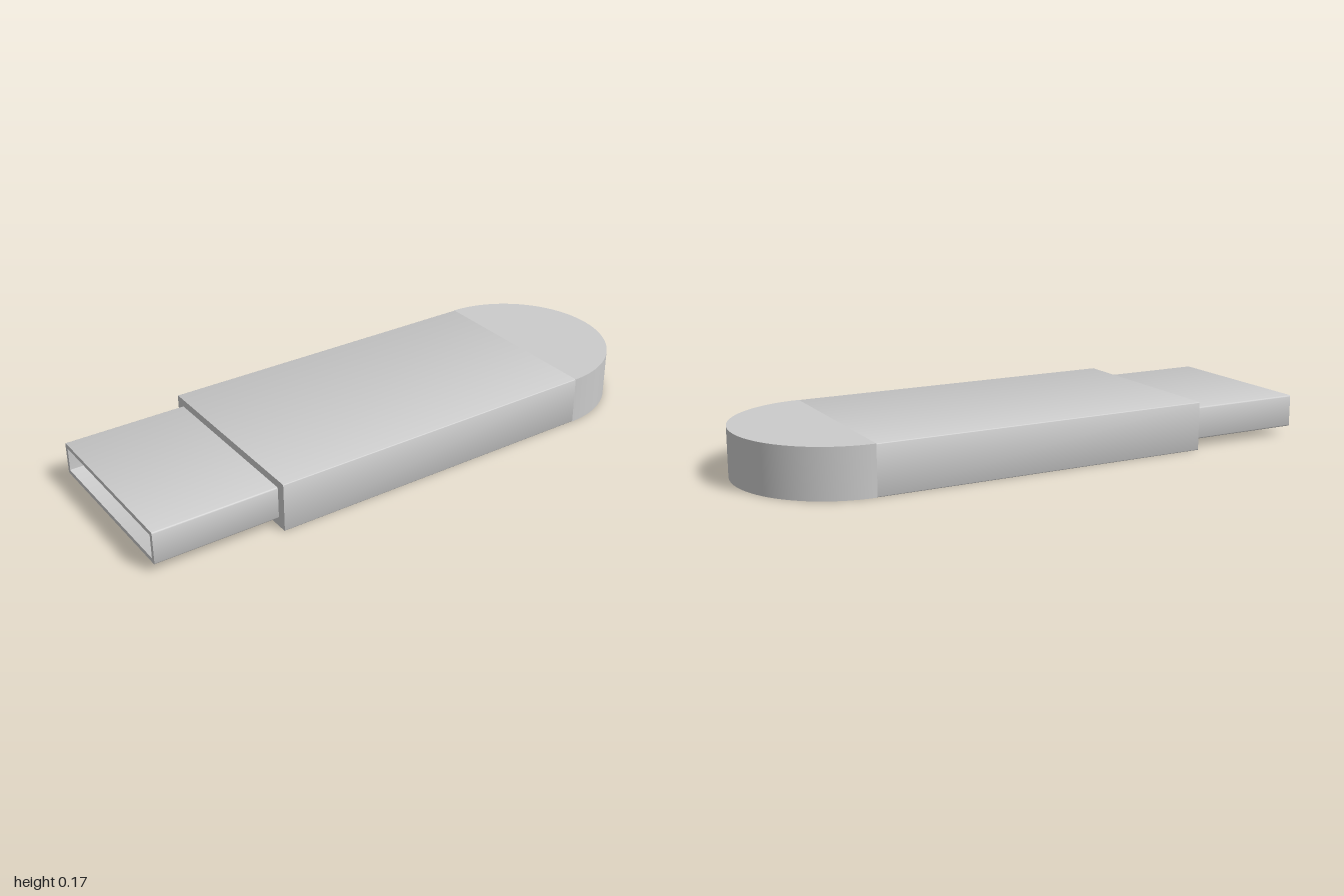
import * as THREE from 'three';
import { toCreasedNormals } from 'three/addons/utils/BufferGeometryUtils.js';

const HEIGHT = 0.172, HALF_WIDTH = 0.35;
const BODY_START = -0.565, BODY_END = 0.65;

// Rectangle with slightly rounded corners, centred on the origin
function roundedRect(path, w, h, r) {
  const x = w / 2 - r, y = h / 2 - r;
  path.absarc(x, y, r, 0, Math.PI / 2);
  path.absarc(-x, y, r, Math.PI / 2, Math.PI);
  path.absarc(-x, -y, r, Math.PI, Math.PI * 1.5);
  path.absarc(x, -y, r, Math.PI * 1.5, Math.PI * 2);
  path.closePath();
  return path;
}

export function createModel() {
  const group = new THREE.Group();
  const material = new THREE.MeshStandardMaterial({ color: 0xcccccc });
  const add = (name, geometry) => {
    const mesh = new THREE.Mesh(toCreasedNormals(geometry, 0.6), material);
    mesh.name = name;
    group.add(mesh);
    return mesh;
  };

  // Sections drawn across the stick, swept along x
  const sweep = (shape, x0, x1) =>
    new THREE.ExtrudeGeometry(shape, { depth: x1 - x0, bevelEnabled: false, curveSegments: 4 })
      .rotateY(Math.PI / 2).translate(x0, 0, 0);

  // Main casing
  const casing = roundedRect(new THREE.Shape(), HALF_WIDTH * 2, HEIGHT, 0.003);
  add('casing', sweep(casing, BODY_START, BODY_END)).position.y = HEIGHT / 2;

  // Half-round end of the casing
  const half = new THREE.Shape();
  half.absarc(0, 0, HALF_WIDTH, -Math.PI / 2, Math.PI / 2);
  half.closePath();
  const end = new THREE.ExtrudeGeometry(half, { depth: HEIGHT, bevelEnabled: false, curveSegments: 48 });
  add('roundedEnd', end.rotateX(-Math.PI / 2)).position.x = BODY_END;

  // Hollow metal plug, open at its tip and closed by the casing
  const plug = roundedRect(new THREE.Shape(), 0.632, 0.115, 0.005);
  plug.holes.push(roundedRect(new THREE.Path(), 0.602, 0.085, 0.003));
  add('plugShell', sweep(plug, -1, BODY_START)).position.y = 0.0875;

  return group;
}
